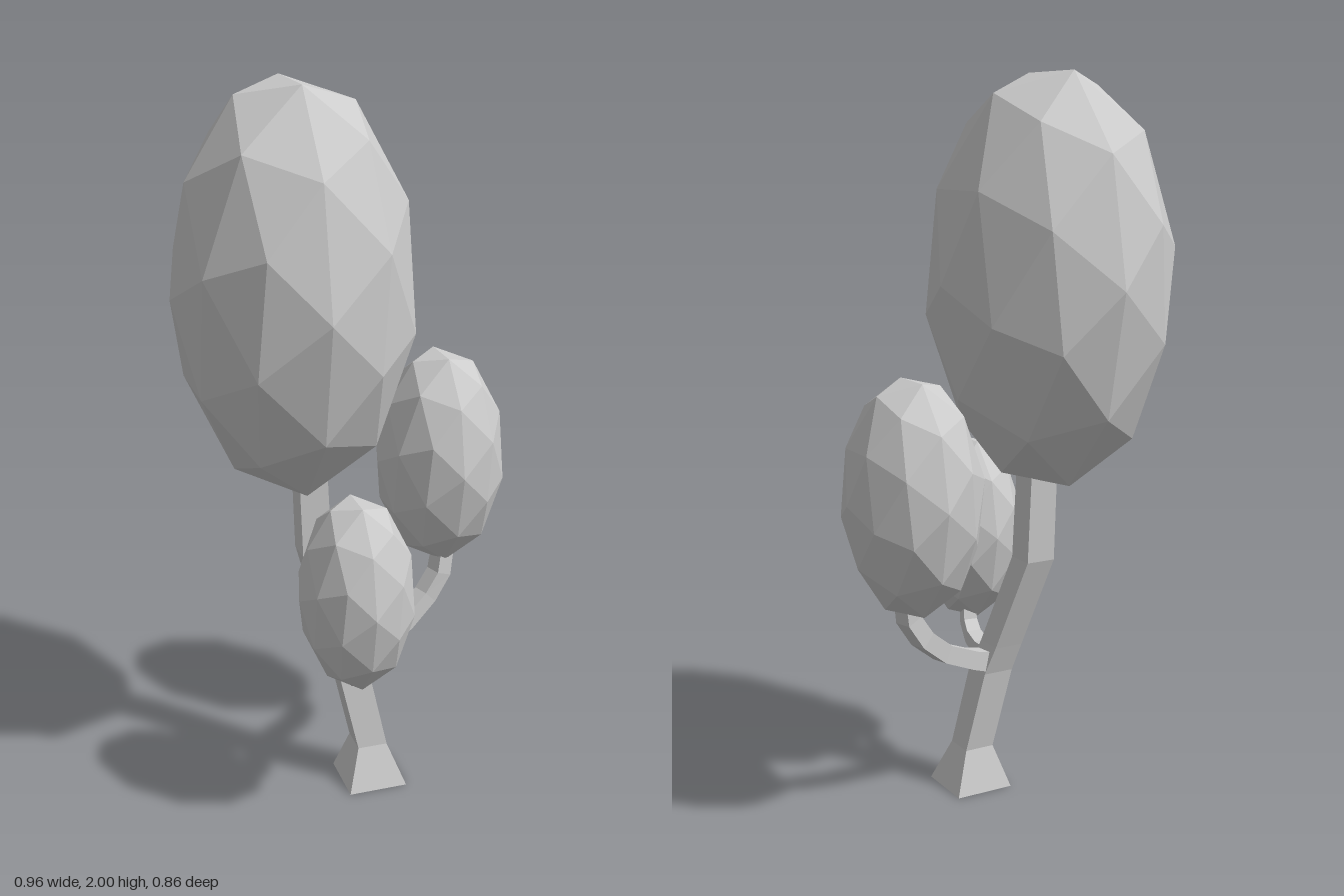
import * as THREE from 'three';

const material = new THREE.MeshStandardMaterial({ color: 0xcccccc, flatShading: true });
const UP = new THREE.Vector3(0, 1, 0);

// Square-section limb through [x, y, z, halfWidth] stations.
// Upright limbs keep level sections; others turn square to the path.
function limb(name, stations, upright) {
  const points = stations.map(([x, y, z]) => new THREE.Vector3(x, y, z));
  const last = points.length - 1;
  const side = upright
    ? new THREE.Vector3(1, 0, 0)
    : points[last].clone().sub(points[0]).cross(UP).normalize();
  const positions = [];
  points.forEach((p, i) => {
    const tangent = upright
      ? UP
      : points[Math.min(i + 1, last)].clone().sub(points[Math.max(i - 1, 0)]).normalize();
    const normal = tangent.clone().cross(side).normalize();
    const w = stations[i][3];
    for (const [a, b] of [[1, 1], [-1, 1], [-1, -1], [1, -1]]) {
      const v = p.clone().addScaledVector(side, a * w).addScaledVector(normal, b * w);
      positions.push(v.x, v.y, v.z);
    }
  });

  const index = [0, 2, 1, 0, 3, 2];
  for (let i = 0; i < last; i++) {
    for (let j = 0; j < 4; j++) {
      const a = i * 4 + j;
      const b = i * 4 + ((j + 1) % 4);
      index.push(a, b, b + 4, a, b + 4, a + 4);
    }
  }
  const e = last * 4;
  index.push(e, e + 1, e + 2, e, e + 2, e + 3);

  let geometry = new THREE.BufferGeometry();
  geometry.setAttribute('position', new THREE.Float32BufferAttribute(positions, 3));
  geometry.setIndex(index);
  geometry = geometry.toNonIndexed();
  geometry.computeVertexNormals();
  const mesh = new THREE.Mesh(geometry, material);
  mesh.name = name;
  return mesh;
}

// Faceted egg of leaves, tipped so that an edge lies along the top
function foliage(name, center, radii) {
  const geometry = new THREE.IcosahedronGeometry(1, 1);
  geometry.rotateZ(THREE.MathUtils.degToRad(58.28));
  geometry.scale(...radii);
  geometry.computeVertexNormals();
  const mesh = new THREE.Mesh(geometry, material);
  mesh.position.set(...center);
  mesh.name = name;
  return mesh;
}

export function createModel() {
  const tree = new THREE.Group();
  tree.name = 'tree';

  // Flared trunk leaning up into the crown
  tree.add(limb('trunk', [
    [0.025, 0, 0.06, 0.085],
    [0.022, 0.12, 0.055, 0.043],
    [-0.025, 0.35, 0.03, 0.044],
    [-0.045, 0.43, 0.005, 0.042],
    [-0.1, 0.69, -0.075, 0.042],
    [-0.11, 1.0, -0.08, 0.04],
  ], true));

  // Side branches curving up to the smaller crowns
  tree.add(limb('leftBranch', [
    [-0.03, 0.37, 0.03, 0.03],
    [0.06, 0.4, 0, 0.026],
    [0.16, 0.445, -0.03, 0.025],
    [0.235, 0.505, -0.055, 0.025],
    [0.28, 0.57, -0.065, 0.025],
    [0.297, 0.67, -0.075, 0.023],
  ]));
  tree.add(limb('frontBranch', [
    [-0.03, 0.385, 0.02, 0.028],
    [-0.035, 0.385, 0.1, 0.023],
    [-0.045, 0.398, 0.17, 0.021],
    [-0.055, 0.43, 0.215, 0.02],
    [-0.06, 0.5, 0.232, 0.018],
  ]));

  // Three crowns
  tree.add(foliage('mainCrown', [-0.15, 1.455, -0.068], [0.33, 0.573, 0.3625]));
  tree.add(foliage('leftCrown', [0.291, 0.917, -0.116], [0.186, 0.323, 0.2035]));
  tree.add(foliage('frontCrown', [-0.079, 0.708, 0.257], [0.157, 0.276, 0.172]));

  return tree;
}
